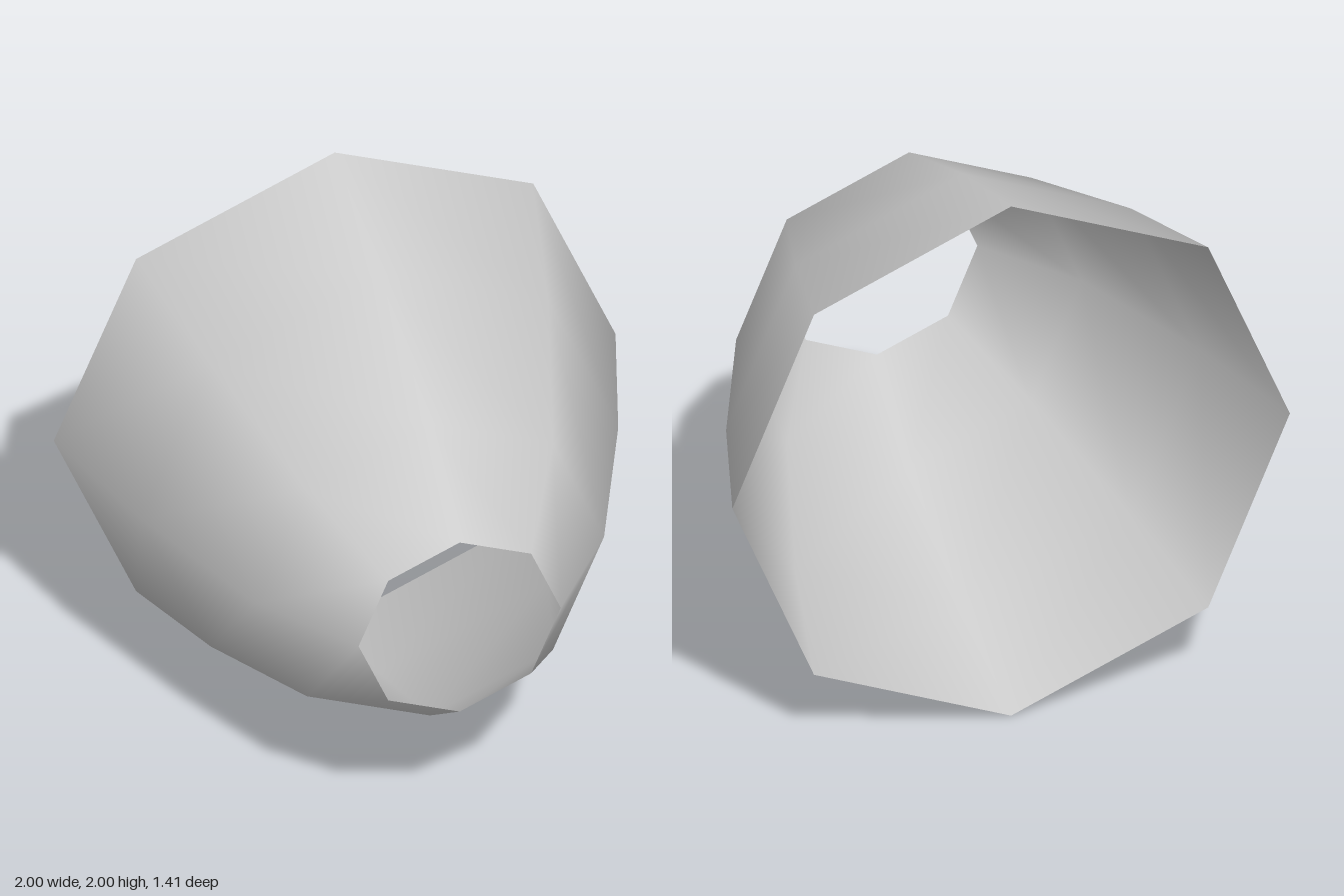
import * as THREE from 'three';

export function createModel() {
  const group = new THREE.Group();
  group.name = 'openShade';

  const grey = new THREE.MeshStandardMaterial({ color: 0xcccccc, side: THREE.DoubleSide });
  grey.name = 'light grey';

  // Profile from the wide back rim to the narrow front rim: radius, z
  const profile = [[1, -0.707], [0.85, -0.2], [0.62, 0.37], [0.36, 0.707]]
    .map(([r, z]) => new THREE.Vector2(r, z));

  // Thin eight-sided shell, open at both ends, lying along z
  const geometry = new THREE.LatheGeometry(profile, 8);
  geometry.rotateX(Math.PI / 2);
  geometry.translate(0, 1, 0);

  const shell = new THREE.Mesh(geometry, grey);
  shell.name = 'shell';
  group.add(shell);
  return group;
}
